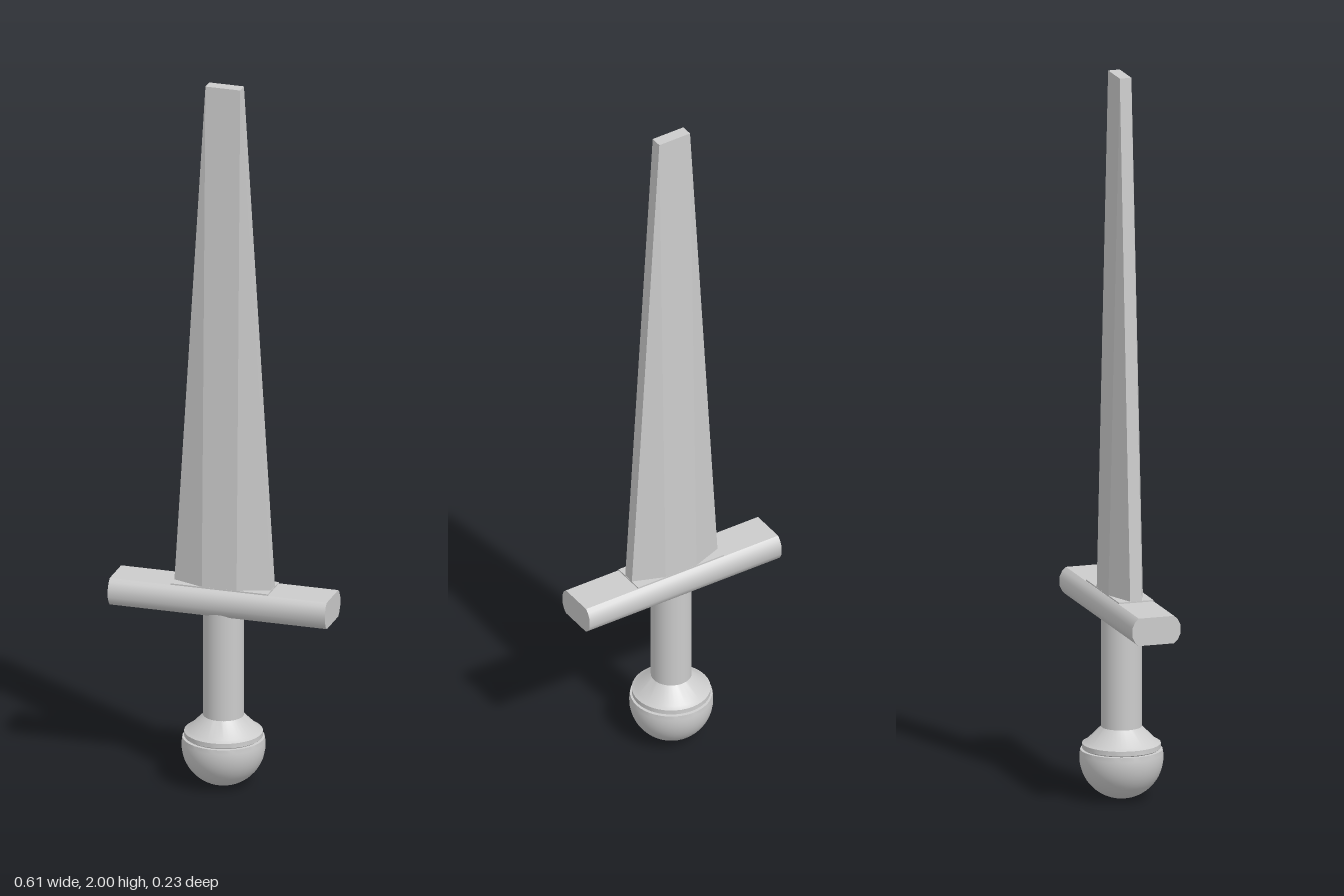
import * as THREE from 'three';
import { toCreasedNormals } from 'three/addons/utils/BufferGeometryUtils.js';

const grey = new THREE.MeshStandardMaterial({ color: 0xcccccc });

function add(group, name, geometry) {
  const mesh = new THREE.Mesh(geometry, grey);
  mesh.name = name;
  group.add(mesh);
  return mesh;
}

// Eight outline corners: half width x, half depth z, with the flats reaching to fx and fz
function outline(x, z, fx, fz, y) {
  return [[x, -fz], [x, fz], [fx, z], [-fx, z], [-x, fz], [-x, -fz], [-fx, -z], [fx, -z]]
    .map(([px, pz]) => [px, y, pz]);
}

// Walls between two outlines, closed at the top
function loft(low, high) {
  const v = [], n = low.length;
  for (let i = 0; i < n; i++) {
    const j = (i + 1) % n;
    v.push(...low[i], ...high[i], ...low[j], ...high[i], ...high[j], ...low[j]);
    if (i > 0 && j > 0) v.push(...high[0], ...high[j], ...high[i]);
  }
  const g = new THREE.BufferGeometry();
  g.setAttribute('position', new THREE.Float32BufferAttribute(v, 3));
  g.computeVertexNormals();
  return g;
}

export function createModel() {
  const sword = new THREE.Group();
  sword.name = 'sword';

  // Tapered blade with bevelled corners, blunt at the tip
  const blade = add(sword, 'blade', loft(
    outline(0.137, 0.049, 0.049, 0.0165, 0.565),
    outline(0.049, 0.0165, 0.049, 0.0165, 2)));
  blade.position.set(0.002, 0, -0.004);

  // Thin rectangular seat under the blade
  const seat = add(sword, 'bladeSeat', new THREE.BoxGeometry(0.274, 0.014, 0.098));
  seat.position.set(0.002, 0.567, -0.004);

  // Crossguard: rounded-edge bar along x
  const half = [[0.05, -0.038], [0.06, -0.029], [0.068, -0.012], [0.068, 0.012], [0.06, 0.029], [0.05, 0.038]];
  const profile = [...half, ...half.map(([z, y]) => [-z, -y])];
  const bar = new THREE.ExtrudeGeometry(
    new THREE.Shape(profile.map(([z, y]) => new THREE.Vector2(z, y))),
    { depth: 0.612, bevelEnabled: false });
  bar.translate(0, 0, -0.306).rotateY(Math.PI / 2);
  add(sword, 'crossguard', toCreasedNormals(bar, 0.6)).position.set(0, 0.532, -0.004);

  // Grip
  add(sword, 'grip', new THREE.CylinderGeometry(0.055, 0.055, 0.33, 32)).position.y = 0.345;

  // Pommel: round bowl, collar ring and cone up to the grip
  const points = [];
  for (let i = 0; i <= 16; i++) {
    const a = (i / 16) * (Math.PI / 2 + 0.2);
    points.push(new THREE.Vector2(0.113 * Math.sin(a), 0.113 - 0.113 * Math.cos(a)));
  }
  for (const [r, y] of [[0.102, 0.136], [0.106, 0.139], [0.106, 0.152], [0.095, 0.158], [0.055, 0.198]]) {
    points.push(new THREE.Vector2(r, y));
  }
  add(sword, 'pommel', toCreasedNormals(new THREE.LatheGeometry(points, 40), 0.5));

  return sword;
}
